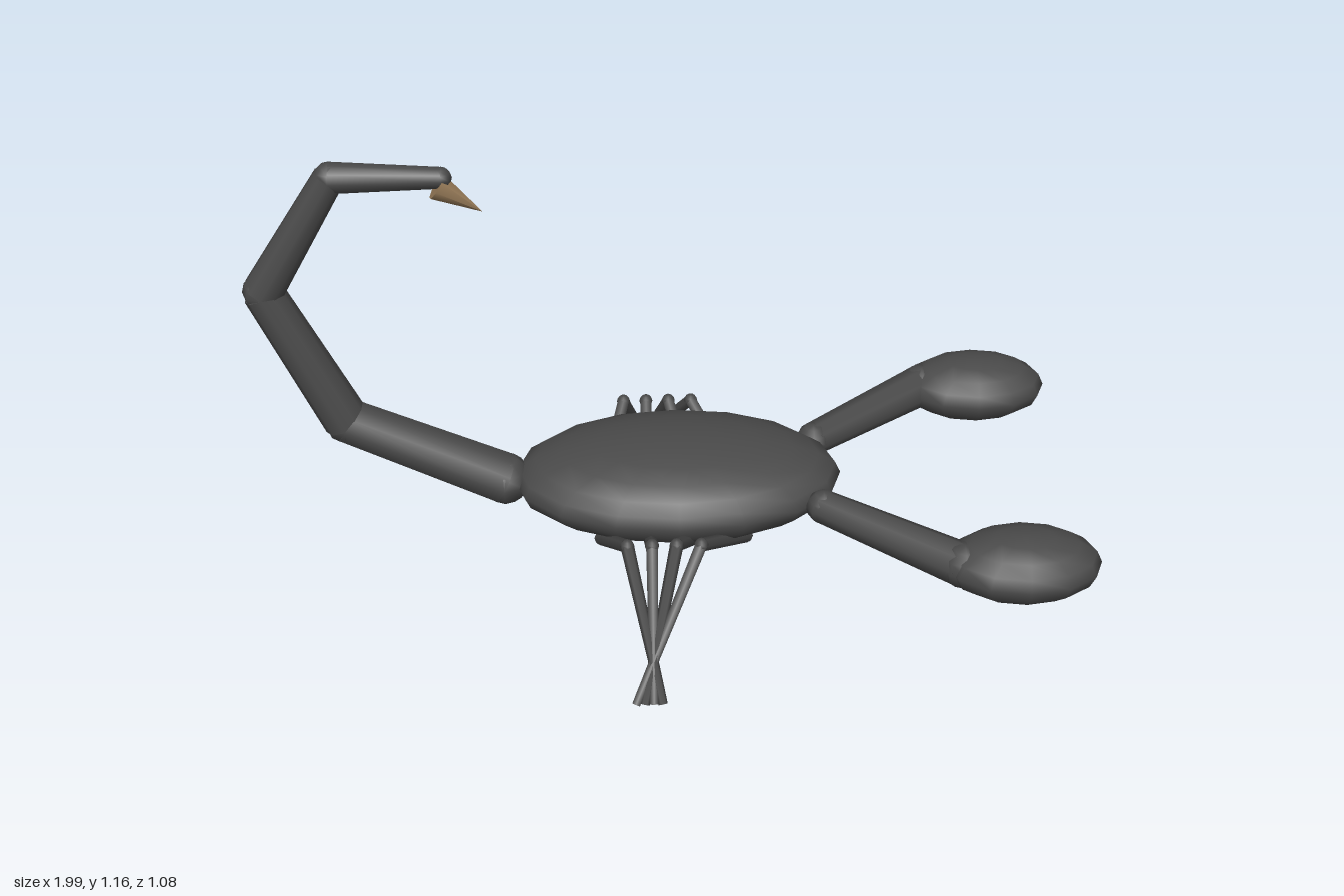
import * as THREE from 'three';

export function createModel() {
  const model = new THREE.Group();
  model.name = 'scorpion';
  const shell = new THREE.MeshStandardMaterial({ color: 0x4a4a4a });
  shell.name = 'dark shell';
  const horn = new THREE.MeshStandardMaterial({ color: 0x967a58 });
  horn.name = 'tan stinger';

  const V = (x, y, z) => new THREE.Vector3(x, y, z);
  const UP = V(0, 1, 0);

  function add(geometry, material, name, parent = model) {
    const mesh = new THREE.Mesh(geometry, material);
    mesh.name = name;
    parent.add(mesh);
    return mesh;
  }

  // Stretched ball
  function ellipsoid(name, centre, radii, wide, high, parent) {
    const mesh = add(new THREE.SphereGeometry(1, wide, high), shell, name, parent);
    mesh.position.copy(centre);
    mesh.scale.copy(radii);
    return mesh;
  }

  // Tapered rod from a (radius ra) to b (radius rb)
  function rod(name, a, b, ra, rb, sides, parent, material = shell) {
    const dir = b.clone().sub(a);
    const mesh = add(new THREE.CylinderGeometry(rb, ra, dir.length(), sides), material, name, parent);
    mesh.position.copy(a).add(b).multiplyScalar(0.5);
    mesh.quaternion.setFromUnitVectors(UP, dir.normalize());
    return mesh;
  }

  function joint(name, p, r, parent) {
    return ellipsoid(name, p, V(r, r, r), 8, 6, parent);
  }

  // Body
  ellipsoid('body', V(0.015, 0.285, 0), V(0.405, 0.115, 0.235), 16, 12);

  // Curled tail, thinning towards the tip
  const tail = new THREE.Group();
  tail.name = 'tail';
  model.add(tail);
  const tailPoints = [
    [-0.41, 0.285, 0.065], [-0.785, 0.465, 0.056], [-0.95, 0.828, 0.048],
    [-0.772, 1.122, 0.037], [-0.52, 1.118, 0.025],
  ];
  tailPoints.forEach(([x, y, r], i) => {
    joint('tailJoint', V(x, y, 0), r, tail);
    if (i === 0) return;
    const [px, py, pr] = tailPoints[i - 1];
    rod('tailSegment', V(px, py, 0), V(x, y, 0), pr, r, 10, tail);
  });

  // Stinger cone
  rod('stinger', V(-0.53, 1.097, 0), V(-0.43, 1.03, 0), 0.034, 0, 8, tail, horn);

  // Arms, claws and legs on both sides
  for (const s of [1, -1]) {
    const side = s > 0 ? 'front' : 'back';
    const shoulder = V(0.365, 0.285, s * 0.145);
    const elbow = V(0.67, 0.285, s * 0.385);
    const arm = new THREE.Group();
    arm.name = side + 'Arm';
    model.add(arm);
    joint('shoulder', shoulder, 0.043, arm);
    rod('forearm', shoulder, elbow, 0.042, 0.054, 8, arm);
    joint('elbow', elbow, 0.056, arm);
    ellipsoid('claw', V(0.81, 0.285, s * 0.383), V(0.185, 0.081, 0.118), 12, 8, arm);

    // Four bent legs that cross just above the feet
    for (let i = 0; i < 4; i++) {
      const leg = new THREE.Group();
      leg.name = side + 'Leg';
      model.add(leg);
      const hip = V(-0.175 + i * 0.119, 0.168, s * 0.1);
      const knee = V(-0.113 + i * 0.058, 0.302, s * 0.31);
      const foot = V(-0.036 - i * 0.021, 0.007, s * 0.532);
      joint('hip', hip, 0.017, leg);
      rod('upperLeg', hip, knee, 0.017, 0.016, 6, leg);
      joint('knee', knee, 0.017, leg);
      rod('lowerLeg', knee, foot, 0.016, 0.011, 6, leg);
    }
  }
  return model;
}
